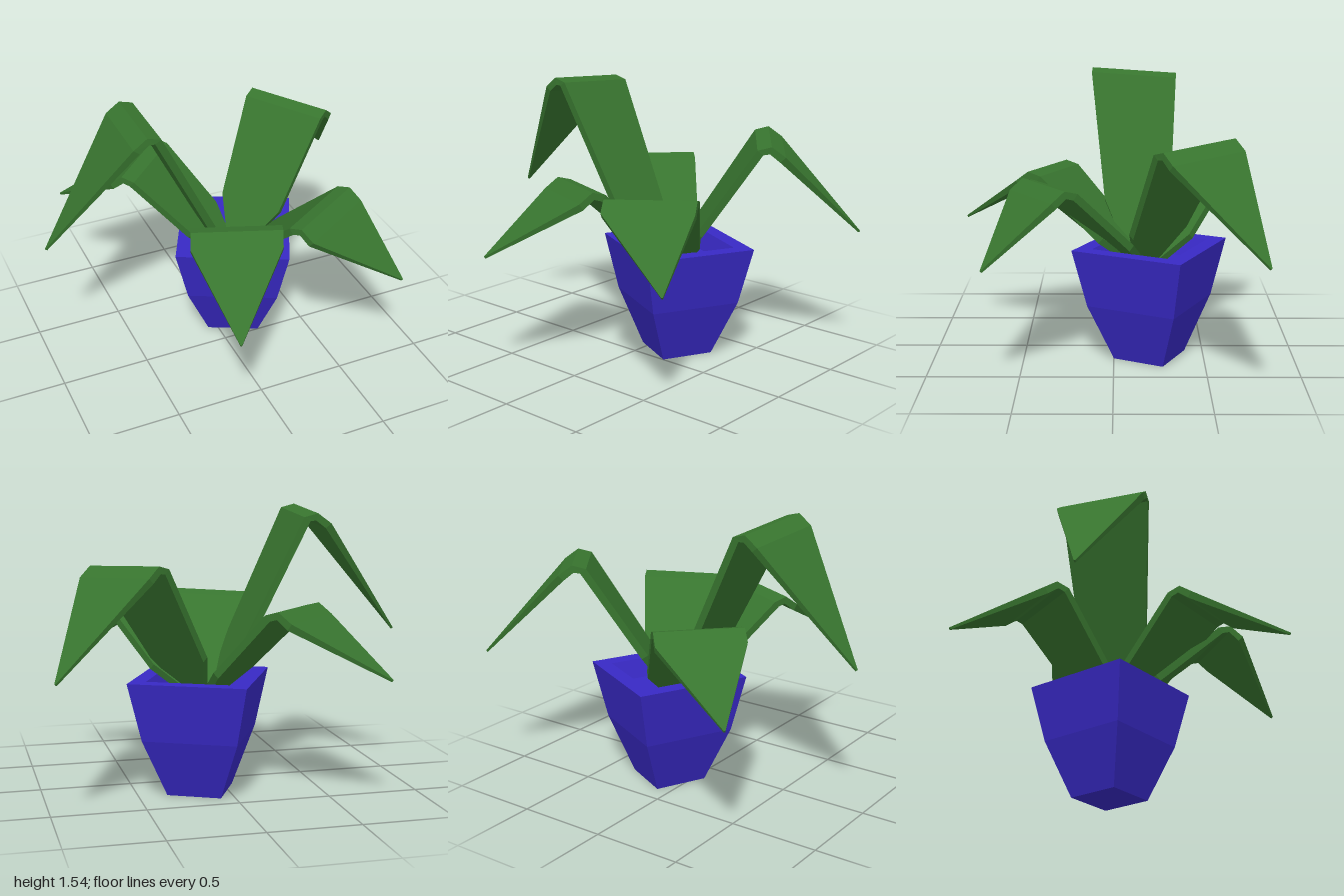
import * as THREE from 'three';

const green = new THREE.MeshStandardMaterial({ color: 0x38752f, flatShading: true });
const blue = new THREE.MeshStandardMaterial({ color: 0x3829c4, flatShading: true });
const V = (a) => new THREE.Vector3(...a);

// A thick blade: rises from base, bends over a bevelled crest, droops to a pointed tip.
// left and right are the ends of the inner crest line, seen looking outward.
function makeLeaf({ base, left, right, tip }) {
  const L = V(left), R = V(right), B = V(base), T = V(tip);
  const mid = L.clone().add(R).multiplyScalar(0.5);
  const side = R.clone().sub(L).multiplyScalar(0.5);
  const unit = side.clone().normalize();
  const out = new THREE.Vector3(0, 1, 0).cross(unit).normalize();
  const half = side.length();
  const crest = (d, y) => mid.clone().addScaledVector(out, d).add(new THREE.Vector3(0, y, 0));

  // Stations along the blade: centre, half width, thickness
  const stations = [
    [B, 0.06, 0.04],
    [B.clone().lerp(mid, 0.3), 0.185, 0.04],
    [mid, half, 0.04],
    [crest(0.075, 0.02), half, 0.04],
    [crest(0.15, -0.035), half, 0.04],
    [T, 0.004, 0.012],
  ];
  const positions = [], index = [];
  stations.forEach(([c, w, t], i) => {
    const prev = stations[Math.max(i - 1, 0)][0];
    const next = stations[Math.min(i + 1, stations.length - 1)][0];
    const normal = unit.clone().cross(next.clone().sub(prev)).normalize();
    for (const [s, d] of [[-1, 0], [1, 0], [1, -t], [-1, -t]]) {
      const p = c.clone().addScaledVector(unit, s * w).addScaledVector(normal, d);
      positions.push(p.x, p.y, p.z);
    }
  });
  const last = (stations.length - 1) * 4;
  for (let r = 0; r < last; r += 4) {
    for (let k = 0; k < 4; k++) {
      const a = r + k, b = r + (k + 1) % 4;
      index.push(a, b, b + 4, a, b + 4, a + 4);
    }
  }
  // End caps
  index.push(0, 2, 1, 0, 3, 2, last, last + 1, last + 2, last, last + 2, last + 3);
  const indexed = new THREE.BufferGeometry();
  indexed.setAttribute('position', new THREE.Float32BufferAttribute(positions, 3));
  indexed.setIndex(index);
  const geometry = indexed.toNonIndexed();
  geometry.computeVertexNormals();
  return new THREE.Mesh(geometry, green);
}

export function createModel() {
  const model = new THREE.Group();

  // Square flared pot with a rim and a sunken floor
  const profile = [[0, 0], [0.21, 0], [0.365, 0.32], [0.452, 0.64], [0.335, 0.64], [0.28, 0.54], [0, 0.54]];
  const pot = new THREE.Mesh(
    new THREE.LatheGeometry(profile.map(([x, y]) => new THREE.Vector2(x, y)), 4, 0.327), blue);
  pot.position.set(0.145, 0, -0.2);
  pot.name = 'pot';
  model.add(pot);

  // Five drooping leaves
  const leaves = {
    tallLeftLeaf: { base: [0.07, 0.55, -0.14], left: [-0.41, 1.525, 0.13], right: [-0.39, 1.495, -0.355], tip: [-1, 0.85, -0.13] },
    backLeftLeaf: { base: [0.1, 0.55, -0.2], left: [-0.42, 1.02, -0.31], right: [-0.09, 1.02, -0.645], tip: [-0.7, 0.7, -0.87] },
    backRightLeaf: { base: [0.14, 0.55, -0.16], left: [0.39, 1.26, -0.58], right: [0.68, 1.235, -0.2], tip: [0.99, 0.74, -0.76] },
    frontLeftLeaf: { base: [0.13, 0.55, -0.15], left: [0.15, 1.02, 0.4], right: [-0.295, 1.005, 0.21], tip: [-0.295, 0.7, 0.86] },
    frontRightLeaf: { base: [0.15, 0.55, -0.15], left: [0.6, 1.02, 0.18], right: [0.18, 1.005, 0.425], tip: [0.76, 0.66, 0.665] },
  };
  for (const [name, spec] of Object.entries(leaves)) {
    const leaf = makeLeaf(spec);
    leaf.name = name;
    model.add(leaf);
  }
  return model;
}
